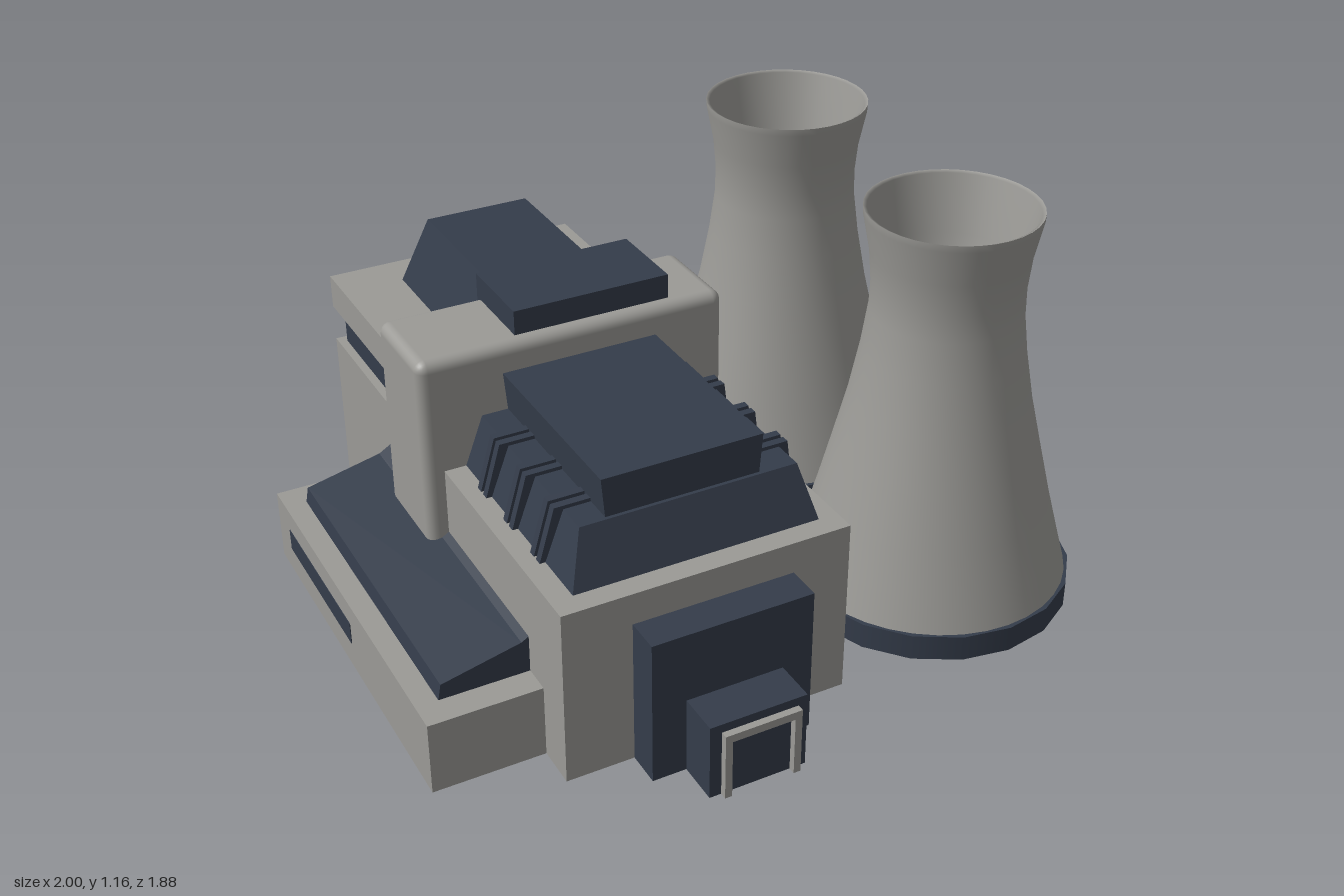
import * as THREE from 'three';
import { RoundedBoxGeometry } from 'three/addons/geometries/RoundedBoxGeometry.js';

export function createModel() {
  const model = new THREE.Group();
  model.name = 'powerPlant';
  const concrete = new THREE.MeshStandardMaterial({ color: 0x9b9a96 });
  concrete.name = 'concrete grey';
  const slate = new THREE.MeshStandardMaterial({ color: 0x343c4a });
  slate.name = 'slate blue';

  const add = (name, geometry, material, parent = model) => {
    const mesh = new THREE.Mesh(geometry, material);
    mesh.name = name;
    parent.add(mesh);
    return mesh;
  };

  // Block given by its limits on each axis
  const block = (name, mat, [x0, x1], [y0, y1], [z0, z1], parent) => {
    const g = new THREE.BoxGeometry(x1 - x0, y1 - y0, z1 - z0);
    g.translate((x0 + x1) / 2, (y0 + y1) / 2, (z0 + z1) / 2);
    return add(name, g, mat, parent);
  };

  // Block whose top rectangle differs from its bottom; each is [x0, x1, z0, z1]
  const taper = (name, mat, bottom, top, y0, y1, parent) => {
    const g = new THREE.BoxGeometry(1, 1, 1);
    const p = g.attributes.position;
    for (let i = 0; i < p.count; i++) {
      const up = p.getY(i) > 0;
      const r = up ? top : bottom;
      p.setXYZ(i, p.getX(i) < 0 ? r[0] : r[1], up ? y1 : y0, p.getZ(i) < 0 ? r[2] : r[3]);
    }
    g.computeVertexNormals();
    return add(name, g, mat, parent);
  };

  // Cooling towers
  const outside = [
    [0.388, 0.07], [0.36, 0.17], [0.325, 0.3], [0.288, 0.45], [0.252, 0.6],
    [0.224, 0.75], [0.208, 0.87], [0.206, 0.95], [0.214, 1.04], [0.235, 1.145], [0.236, 1.165],
  ].map(([r, y]) => new THREE.Vector2(r, y));
  const inside = [
    [0.236, 1.165], [0.226, 1.16], [0.195, 1.0], [0.155, 0.84], [0.13, 0.79], [0, 0.77],
  ].map(([r, y]) => new THREE.Vector2(r, y));
  for (const z of [-0.45, 0.39]) {
    const tower = new THREE.Group();
    tower.name = 'coolingTower';
    tower.position.set(0.6, 0, z);
    model.add(tower);
    const base = new THREE.CylinderGeometry(0.4, 0.4, 0.075, 18).translate(0, 0.0375, 0);
    add('towerBase', base, slate, tower);
    add('towerShell', new THREE.LatheGeometry(outside, 36), concrete, tower);
    add('towerInside', new THREE.LatheGeometry(inside, 36), concrete, tower);
  }

  // Front hall with its stepped roof
  block('frontHall', concrete, [-0.69, 0.12], [0, 0.51], [-0.05, 0.7]);
  taper('hallRoof', slate, [-0.63, 0.065, -0.03, 0.64], [-0.575, 0.035, -0.03, 0.57], 0.505, 0.65);
  taper('hallRoofCap', slate, [-0.5, -0.07, -0.03, 0.56], [-0.51, -0.06, -0.03, 0.56], 0.645, 0.76);

  // Paired ribs on both sides of the hall roof
  for (const z of [0.105, 0.14, 0.27, 0.305, 0.435, 0.47]) {
    taper('roofRibRight', slate, [-0.645, -0.5, z - 0.011, z + 0.011],
      [-0.6, -0.5, z - 0.011, z + 0.011], 0.505, 0.66);
    taper('roofRibLeft', slate, [-0.06, 0.08, z - 0.011, z + 0.011],
      [-0.06, 0.06, z - 0.011, z + 0.011], 0.505, 0.66);
  }

  // Tall cross block
  const cross = new RoundedBoxGeometry(0.895, 0.84, 0.29, 3, 0.03);
  cross.translate(-0.2975, 0.42, -0.165);
  add('crossBlock', cross, concrete);
  block('crossBlockRoof', slate, [-0.455, 0], [0.82, 0.91], [-0.31, -0.06]);

  // Rear hall with recessed window band and roof hood
  block('rearHall', concrete, [-0.67, 0.1], [0, 0.46], [-0.94, -0.25]);
  block('rearWindowBand', slate, [-0.645, 0.075], [0.45, 0.58], [-0.912, -0.25]);
  block('rearRoofSlab', concrete, [-0.67, 0.1], [0.57, 0.67], [-0.94, -0.25]);
  taper('rearRoofHood', slate, [-0.49, -0.04, -0.82, -0.3], [-0.41, -0.1, -0.78, -0.3], 0.665, 0.865);

  // Side annex with a sloping roof
  block('annex', concrete, [-1, -0.66], [0, 0.21], [-0.58, 0.58]);
  const roofShape = new THREE.Shape([
    [-0.94, 0.2], [-0.66, 0.2], [-0.66, 0.335], [-0.71, 0.305], [-0.93, 0.255],
  ].map(([x, y]) => new THREE.Vector2(x, y)));
  const annexRoof = new THREE.ExtrudeGeometry(roofShape, { depth: 1.0, bevelEnabled: false });
  annexRoof.translate(0, 0, -0.5);
  add('annexRoof', annexRoof, slate);
  block('annexWindow', slate, [-1.002, -0.995], [0.08, 0.145], [-0.48, 0.02]);

  // Entrance at the front
  block('entranceBlock', slate, [-0.5, -0.045], [0, 0.42], [0.69, 0.8]);
  block('entrancePorch', slate, [-0.405, -0.13], [0, 0.22], [0.79, 0.92]);
  block('doorFrameRight', concrete, [-0.372, -0.352], [0, 0.195], [0.91, 0.94]);
  block('doorFrameLeft', concrete, [-0.175, -0.155], [0, 0.195], [0.91, 0.94]);
  block('doorFrameTop', concrete, [-0.352, -0.175], [0.172, 0.195], [0.91, 0.94]);

  return model;
}
